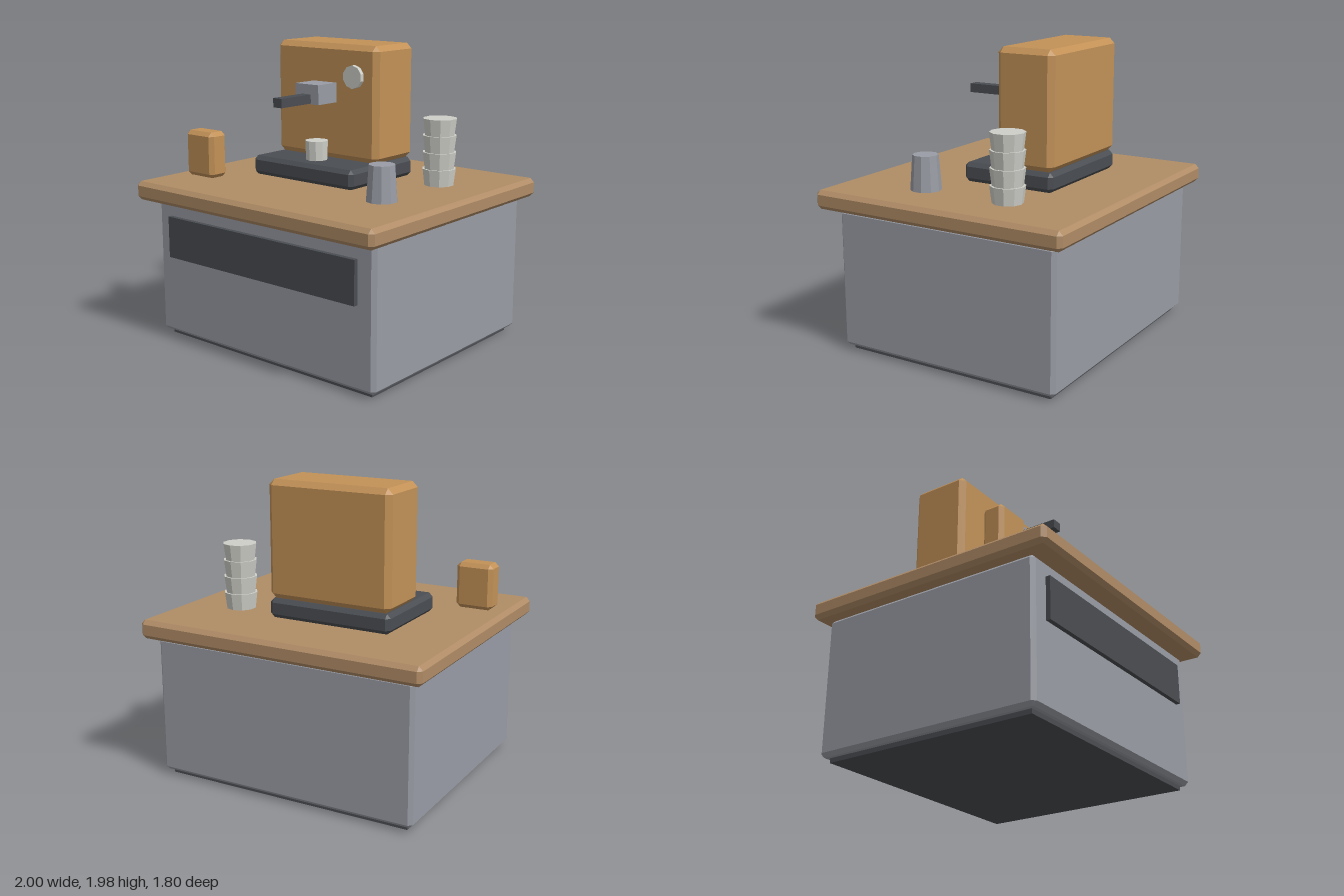
import * as THREE from 'three';
import { ConvexGeometry } from 'three/addons/geometries/ConvexGeometry.js';

const material = (name, color) => {
  const m = new THREE.MeshStandardMaterial({ color, flatShading: true });
  m.name = name;
  return m;
};

// Box given by its [min, max] on each axis, with every edge cut off by c
function chamferBox(x, y, z, c) {
  const points = [];
  const inset = (range, i, amount) => range[i] + (i ? -amount : amount);
  for (const i of [0, 1]) for (const j of [0, 1]) for (const k of [0, 1]) {
    for (let flat = 0; flat < 3; flat++) {
      points.push(new THREE.Vector3(
        inset(x, i, flat === 0 ? 0 : c),
        inset(y, j, flat === 1 ? 0 : c),
        inset(z, k, flat === 2 ? 0 : c)));
    }
  }
  return new ConvexGeometry(points);
}

// Plain box given by its [min, max] on each axis
function plainBox(x, y, z) {
  const size = (r) => r[1] - r[0], mid = (r) => (r[0] + r[1]) / 2;
  return new THREE.BoxGeometry(size(x), size(y), size(z)).translate(mid(x), mid(y), mid(z));
}

// Ten-sided cup standing on y
function cup(x, y, z, rTop, rBottom, h) {
  return new THREE.CylinderGeometry(rTop, rBottom, h, 10).translate(x, y + h / 2, z);
}

export function createModel() {
  const wood = material('counter wood', 0xb08c66);
  const copper = material('copper', 0xc29157);
  const steel = material('steel grey', 0x999ca5);
  const dark = material('charcoal', 0x4a4d52);
  const cream = material('cream', 0xcecfc8);

  const model = new THREE.Group();
  model.name = 'coffeeCounter';
  const add = (name, geometry, mat, parent = model) => {
    const mesh = new THREE.Mesh(geometry, mat);
    mesh.name = name;
    parent.add(mesh);
  };
  const group = (name) => {
    const g = new THREE.Group();
    g.name = name;
    model.add(g);
    return g;
  };

  // Counter
  const counter = group('counter');
  add('plinth', plainBox([-0.87, 0.87], [0, 0.04], [-0.77, 0.72]), dark, counter);
  add('cabinet', chamferBox([-0.92, 0.92], [0.03, 0.955], [-0.82, 0.77], 0.025), steel, counter);
  add('frontPanel', plainBox([-0.795, 0.795], [0.57, 0.85], [0.76, 0.8]), dark, counter);
  add('countertop', chamferBox([-1, 1], [0.955, 1.08], [-0.9, 0.9], 0.027), wood, counter);

  // Espresso machine
  const machine = group('espressoMachine');
  add('dripBase', chamferBox([-0.565, 0.305], [1.08, 1.21], [-0.44, 0.225], 0.027), dark, machine);
  add('body', chamferBox([-0.565, 0.305], [1.21, 1.98], [-0.44, -0.03], 0.036), copper, machine);
  add('brewHead', plainBox([-0.23, -0.03], [1.595, 1.725], [-0.05, 0.155]), steel, machine);
  add('handle', plainBox([-0.168, -0.095], [1.6, 1.66], [0.1, 0.435]), dark, machine);
  add('gauge', new THREE.CylinderGeometry(0.077, 0.077, 0.04, 10)
    .rotateX(Math.PI / 2).translate(0.125, 1.775, -0.02), cream, machine);
  add('espressoCup', cup(-0.132, 1.21, 0.055, 0.078, 0.073, 0.13), cream, machine);

  // Stack of cups, each flaring upward
  const stack = group('cupStack');
  for (let i = 0; i < 4; i++) {
    add('stackedCup', cup(0.61, 1.08 + i * 0.11, -0.31, 0.113, 0.099, 0.11), cream, stack);
  }

  // Loose items on the counter
  add('milkJug', cup(0.61, 1.08, 0.305, 0.084, 0.101, 0.23), steel);
  add('counterBox', chamferBox([-0.9, -0.645], [1.08, 1.39], [0.385, 0.535], 0.027), copper);

  return model;
}
